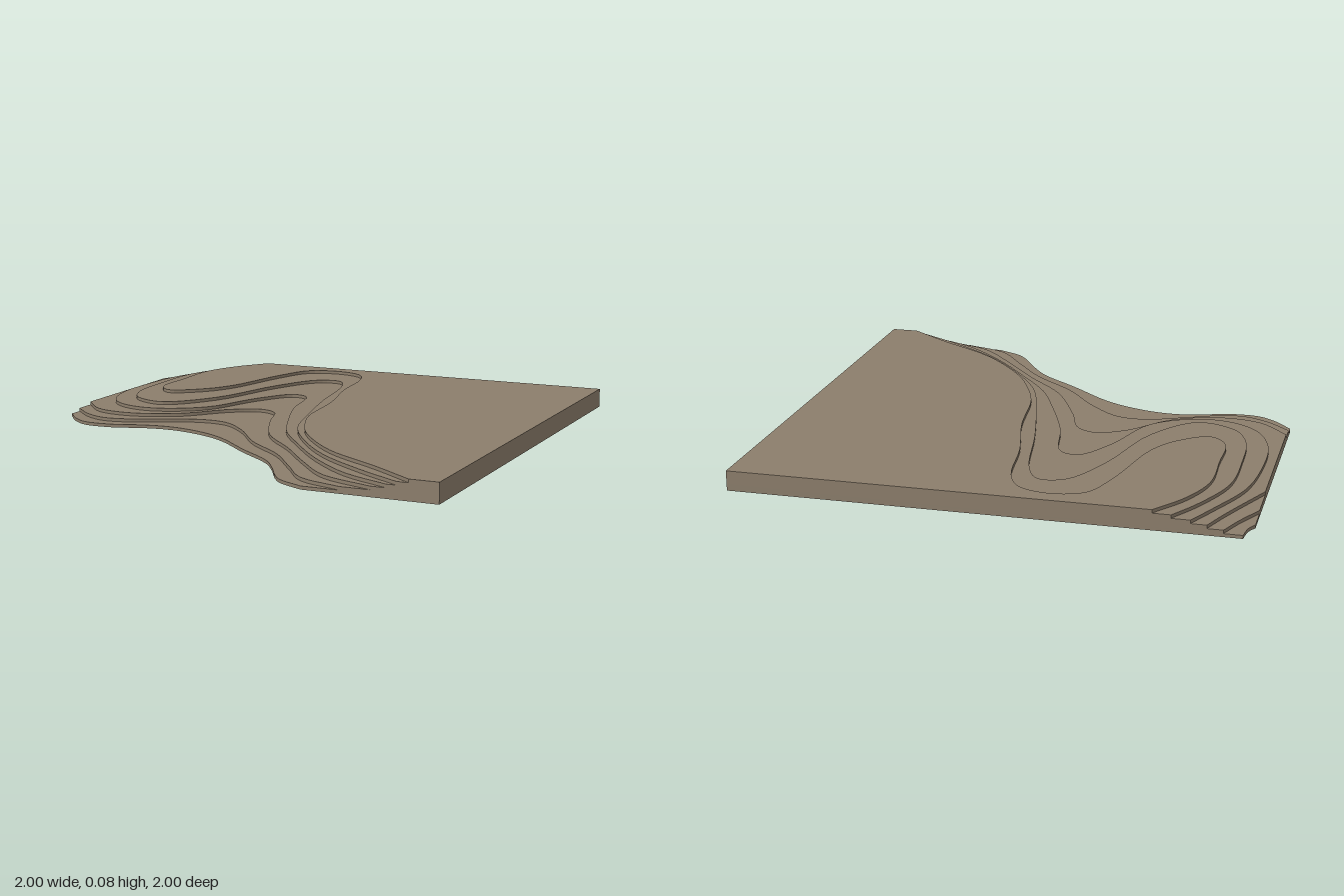
import * as THREE from 'three';

const LAYER_HEIGHT = 0.08 / 6;

// Contour edges as x, z pairs, one list per edge, from the lowest layer up.
// Each runs from the back or left side round to the front side.
const layer1 = [
  [-0.97, -1, -0.98, -0.93, -1, -0.89],
  [-1, 0.19, -0.93, 0.27, -0.85, 0.32, -0.72, 0.32, -0.6, 0.28, -0.5, 0.265, -0.4, 0.275, -0.27, 0.32,
    -0.17, 0.38, 0, 0.53, 0.17, 0.67, 0.25, 0.78, 0.31, 0.88, 0.36, 0.94, 0.47, 1],
];
const layer2 = [
  [-0.9, -1, -0.94, -0.9, -1, -0.78],
  [-1, 0.13, -0.9, 0.22, -0.8, 0.265, -0.7, 0.255, -0.55, 0.19, -0.4, 0.13, -0.28, 0.14,
    -0.15, 0.25, 0, 0.44, 0.18, 0.6, 0.32, 0.78, 0.44, 0.93, 0.62, 1],
];
const layer3 = [
  [-0.84, -1, -0.89, -0.87, -1, -0.62],
  [-1, 0.04, -0.88, 0.16, -0.757, 0.19, -0.63, 0.17, -0.5, 0.1, -0.36, -0.06, -0.24, -0.12,
    -0.16, -0.08, -0.1, 0.08, 0.03, 0.35, 0.2, 0.54, 0.36, 0.74, 0.52, 0.91, 0.74, 1],
];
const layer4 = [
  [-0.78, -1, -0.84, -0.87, -0.93, -0.65, -0.96, -0.4, -0.95, -0.15, -0.88, 0.02, -0.77, 0.1,
    -0.63, 0.11, -0.45, 0, -0.34, -0.28, -0.24, -0.43, -0.165, -0.41, -0.1, -0.15, 0, 0.12,
    0.09, 0.32, 0.22, 0.5, 0.4, 0.72, 0.6, 0.9, 0.8, 1],
];
const layer5 = [
  [-0.71, -1, -0.79, -0.86, -0.87, -0.65, -0.88, -0.4, -0.86, -0.15, -0.79, -0.02, -0.64, 0.03,
    -0.48, -0.16, -0.37, -0.53, -0.26, -0.74, -0.16, -0.76, -0.1, -0.66, -0.03, -0.3, 0.04, 0,
    0.12, 0.28, 0.23, 0.47, 0.42, 0.7, 0.65, 0.88, 0.84, 1],
];
const layer6 = [
  [-0.64, -1, -0.74, -0.85, -0.8, -0.68, -0.8, -0.45, -0.79, -0.24, -0.72, -0.17, -0.6, -0.25,
    -0.52, -0.38, -0.44, -0.72, -0.37, -0.89, -0.24, -0.93, -0.12, -0.89, -0.06, -0.78, -0.02, -0.5,
    0.05, -0.2, 0.09, 0.11, 0.16, 0.3, 0.235, 0.44, 0.44, 0.68, 0.7, 0.86, 0.885, 1],
];

// Smooth contour through the pairs, kept inside the square; shape y is -z
function contour(pairs) {
  const points = [];
  for (let i = 0; i < pairs.length; i += 2) points.push(new THREE.Vector3(pairs[i], -pairs[i + 1], 0));
  const curve = new THREE.CatmullRomCurve3(points, false, 'centripetal');
  return curve.getPoints((points.length - 1) * 5).map((p) => new THREE.Vector2(
    THREE.MathUtils.clamp(p.x, -1, 1), THREE.MathUtils.clamp(p.y, -1, 1)));
}

// One flat terrace closed by the square's right-hand corners
function terrace(edges, level, material) {
  const outline = edges.flatMap(contour);
  outline.push(new THREE.Vector2(1, -1), new THREE.Vector2(1, 1));
  const geometry = new THREE.ExtrudeGeometry(new THREE.Shape(outline), {
    depth: LAYER_HEIGHT, bevelEnabled: false,
  });
  geometry.rotateX(-Math.PI / 2);
  const mesh = new THREE.Mesh(geometry, material);
  mesh.position.y = level * LAYER_HEIGHT;
  mesh.name = `terrainLayer${level + 1}`;
  return mesh;
}

export function createModel() {
  const group = new THREE.Group();
  group.name = 'contourTerrain';
  const earth = new THREE.MeshStandardMaterial({ color: 0x8b7d6b });
  earth.name = 'earth brown';
  [layer1, layer2, layer3, layer4, layer5, layer6].forEach((edges, level) => {
    group.add(terrace(edges, level, earth));
  });
  return group;
}
